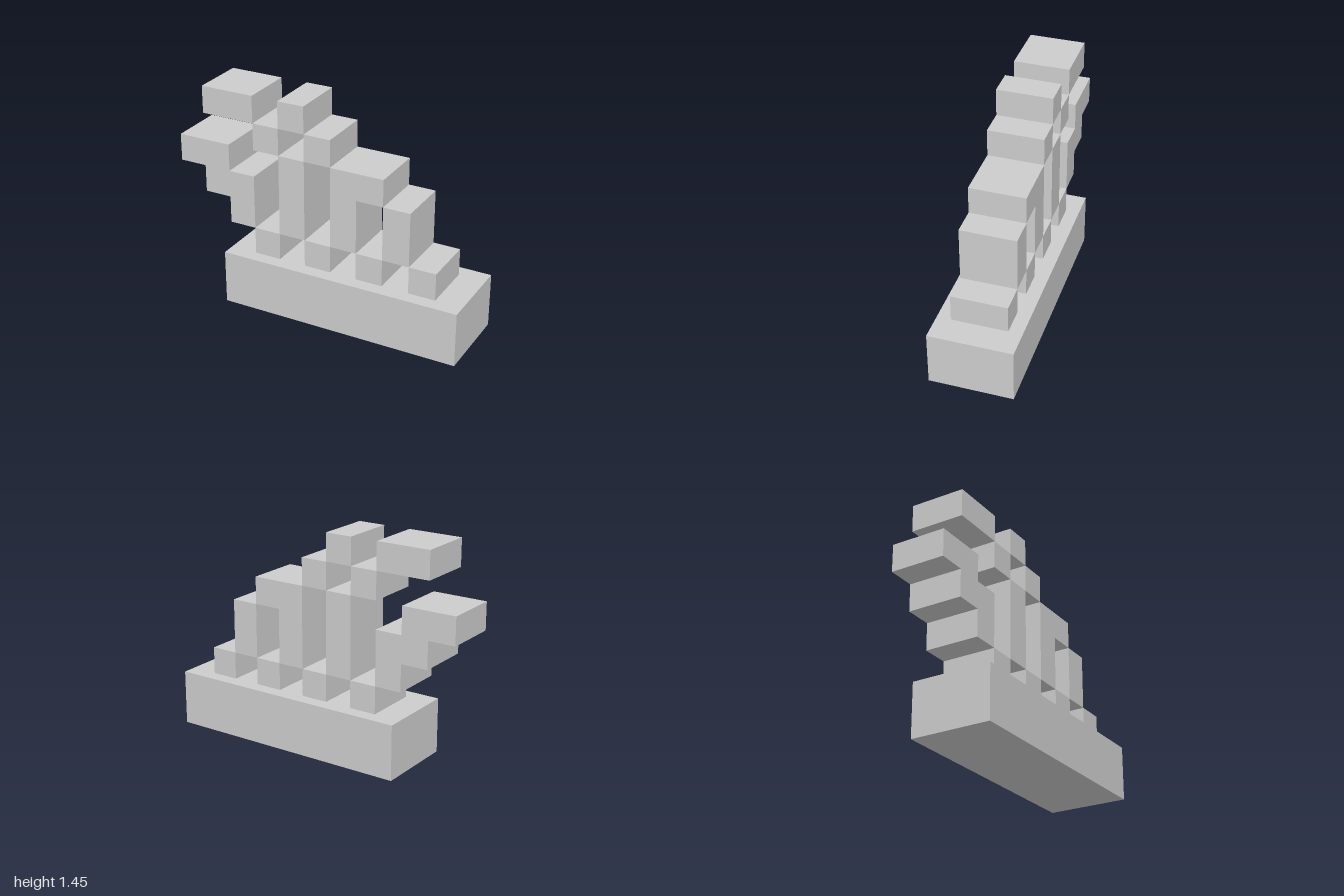
import * as THREE from 'three';

const U = 2 / 11; // one block of the grid

export function createModel() {
  const group = new THREE.Group();
  const material = new THREE.MeshStandardMaterial({ color: 0xcccccc, flatShading: true });

  function add(name, geometry) {
    const mesh = new THREE.Mesh(geometry, material);
    mesh.name = name;
    group.add(mesh);
    return mesh;
  }

  // Block given by its left column, bottom row, width, height and depth in grid units
  function block(name, col, row, w, h, d = 2) {
    add(name, new THREE.BoxGeometry(w * U, h * U, d * U))
      .position.set((col + w / 2) * U - 1, (row + h / 2) * U, 0);
  }

  // Stepped piece extruded from a grid outline
  function stepped(name, outline, d = 2) {
    const shape = new THREE.Shape(outline.map(([c, r]) => new THREE.Vector2(c * U - 1, r * U)));
    const geometry = new THREE.ExtrudeGeometry(shape, { depth: d * U, bevelEnabled: false });
    geometry.translate(0, 0, -d * U / 2);
    add(name, geometry);
  }

  block('base', 2, 0, 9, 2, 3);

  // Row of feet on the base
  [3, 5, 7, 9].forEach((col, i) => block('foot' + (i + 1), col, 2, 1, 1));

  // Uprights between the feet
  block('middleColumn', 4, 3, 1, 3);
  block('endColumn', 8, 3, 1, 2);
  stepped('hookedColumn', [[6, 3], [7, 3], [7, 5], [8, 5], [8, 6], [6, 6]]);
  stepped('steppedArm', [
    [2, 3], [3, 3], [3, 5], [2, 5], [2, 6], [0, 6], [0, 5], [1, 5], [1, 4], [2, 4],
  ]);

  // Upper blocks
  block('upperLinkRight', 3, 6, 1, 1);
  block('upperLinkLeft', 5, 6, 1, 1);
  block('topBar', 1, 7, 2, 1);
  block('topBlock', 4, 7, 1, 1);

  return group;
}
